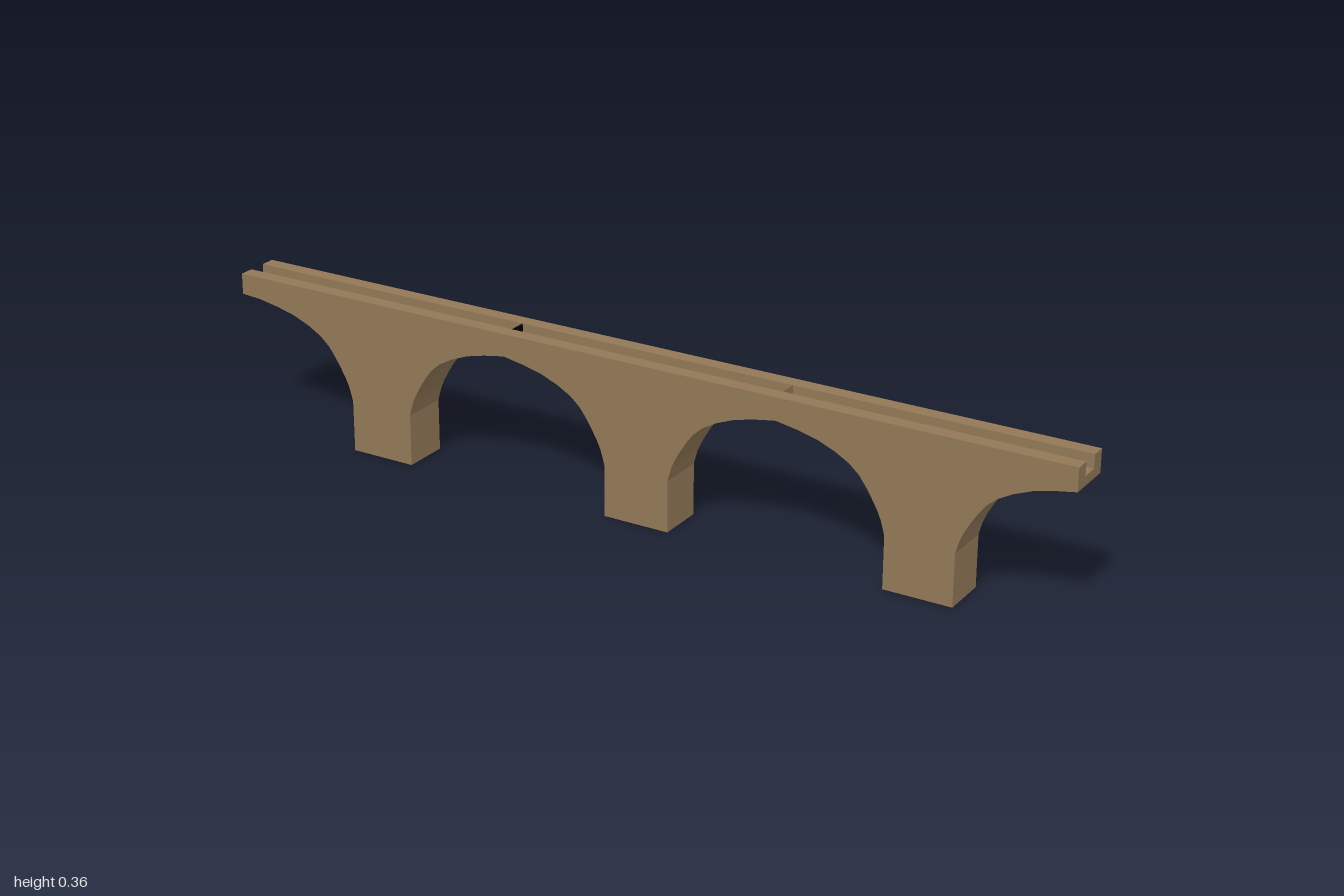
import * as THREE from 'three';

const HALF_WIDTH = 0.053, CHANNEL = 0.02, FLOOR = 0.329, TOP = 0.359;
const PIER_HALF = 0.077, PIER_CENTRES = [-0.628, 0.025, 0.678];
const BASE = 0.001;

// Half arch, from pier face to crown: [distance out from pier face, height]
const ARCH = [
  [0, BASE], [0, 0.118], [0.004, 0.133], [0.009, 0.15], [0.017, 0.168], [0.03, 0.191], [0.043, 0.212],
  [0.06, 0.235], [0.083, 0.255], [0.115, 0.273], [0.155, 0.289], [0.2, 0.3], [0.246, 0.308],
];

export function createModel() {
  const group = new THREE.Group();
  const stone = new THREE.MeshStandardMaterial({ color: 0x917857, side: THREE.DoubleSide });
  stone.name = 'brown stone';
  const black = new THREE.MeshStandardMaterial({ color: 0x000000 });
  black.name = 'black';

  const add = (name, geometry, material, x = 0, y = 0, z = 0) => {
    const mesh = new THREE.Mesh(geometry, material);
    mesh.name = name;
    mesh.position.set(x, y, z);
    group.add(mesh);
  };

  // Arched body: deck floor on top, three piers joined by arches below
  const shape = new THREE.Shape();
  shape.moveTo(1, FLOOR);
  shape.lineTo(-1, FLOOR);
  shape.lineTo(-1, 0.312);
  for (const centre of PIER_CENTRES) {
    const left = centre - PIER_HALF, right = centre + PIER_HALF;
    [...ARCH].reverse().forEach(([d, y]) => shape.lineTo(left - d, y));
    ARCH.forEach(([d, y]) => shape.lineTo(Math.min(right + d, 1), y));
  }
  shape.closePath();
  const body = new THREE.ExtrudeGeometry(shape, { depth: HALF_WIDTH * 2, bevelEnabled: false });
  add('archedBody', body, stone, 0, 0, -HALF_WIDTH);

  // Black undersides of the piers
  for (const centre of PIER_CENTRES) {
    const sole = new THREE.PlaneGeometry(PIER_HALF * 2, HALF_WIDTH * 2).rotateX(Math.PI / 2);
    add('pierUnderside', sole, black, centre);
  }

  // Raised kerbs on both sides of the central channel
  const kerbWidth = HALF_WIDTH - CHANNEL, kerbY = (TOP + FLOOR) / 2;
  for (const side of [-1, 1]) {
    add(side > 0 ? 'frontKerb' : 'backKerb',
      new THREE.BoxGeometry(2, TOP - FLOOR, kerbWidth), stone,
      0, kerbY, side * (CHANNEL + kerbWidth / 2));
  }

  // Thin partitions across the channel where the bridge sections meet
  const plate = new THREE.PlaneGeometry(CHANNEL * 2, TOP - FLOOR).rotateY(Math.PI / 2);
  for (const x of [-0.303, 0.35]) add('channelPartition', plate, stone, x, kerbY);

  // Black face on the left side of the first partition
  add('partitionFace', plate, black, -0.301, kerbY);

  return group;
}
